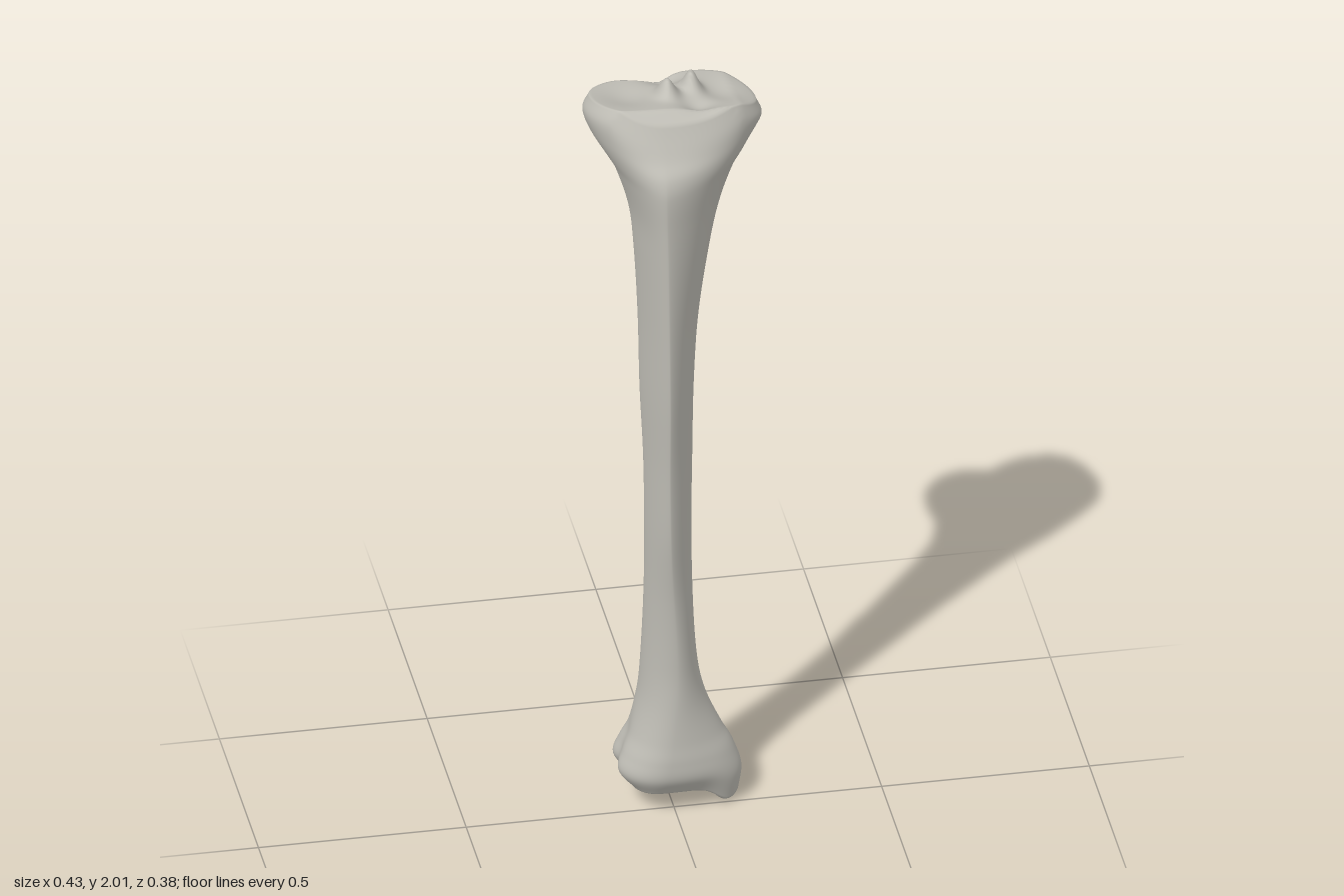
import * as THREE from 'three';

// silhouette by height: y, min x, max x, front z, back z
const OUTLINE = [
  [0.05, -0.105, 0.16, 0.03, -0.165], [0.10, -0.137, 0.167, 0.06, -0.175], [0.15, -0.125, 0.15, 0.064, -0.155],
  [0.20, -0.105, 0.122, 0.06, -0.13], [0.30, -0.082, 0.08, 0.055, -0.11], [0.40, -0.075, 0.06, 0.055, -0.095],
  [0.60, -0.072, 0.046, 0.07, -0.065], [0.80, -0.075, 0.04, 0.10, -0.036], [1.00, -0.08, 0.04, 0.12, -0.02],
  [1.20, -0.09, 0.042, 0.145, -0.022], [1.40, -0.095, 0.052, 0.162, -0.035], [1.60, -0.105, 0.08, 0.178, -0.045],
  [1.70, -0.115, 0.105, 0.185, -0.062], [1.80, -0.145, 0.147, 0.191, -0.112], [1.84, -0.168, 0.175, 0.184, -0.142],
  [1.89, -0.2, 0.205, 0.16, -0.178], [1.93, -0.212, 0.216, 0.14, -0.19], [1.967, -0.196, 0.203, 0.115, -0.178],
];
// section shape: y, crest x, back x, z of the -x edge, z of the +x edge, front and back sharpness
const SHAPE = [
  [0.05, -0.03, -0.05, -0.06, -0.03, 0.9, 1], [0.2, -0.01, -0.03, -0.05, -0.03, 1, 1],
  [0.4, 0, 0, -0.03, -0.03, 1.1, 1], [0.8, -0.025, 0, 0.02, 0.01, 1.35, 1.05],
  [1.2, -0.035, -0.01, 0.04, 0.03, 1.4, 1.1], [1.6, -0.045, 0, 0.04, 0.04, 1.3, 1.1],
  [1.8, -0.05, 0.02, 0.01, 0, 1.2, 1], [1.9, -0.045, 0.07, -0.03, -0.03, 1.05, 0.95],
  [1.967, -0.04, 0.09, -0.04, -0.04, 0.95, 0.95],
];
const BOTTOM = 0.05, TOP = 1.967, SIDES = 96;
const bump = (x, z, cx, cz, sx, sz) => Math.exp(-(((x - cx) / sx) ** 2) - ((z - cz) / sz) ** 2);
const step = THREE.MathUtils.smoothstep;

// smooth cubic reading of a table at height y
function sample(table, y) {
  const n = table.length - 1;
  let i = 0;
  while (i < n - 1 && y > table[i + 1][0]) i++;
  const h = table[i + 1][0] - table[i][0], t = (y - table[i][0]) / h;
  const slope = (k, c) => {
    const a = table[Math.max(k - 1, 0)], b = table[Math.min(k + 1, n)];
    return (b[c] - a[c]) / (b[0] - a[0]);
  };
  return table[i].slice(1).map((_, k) => {
    const c = k + 1, p = table[i][c], q = table[i + 1][c];
    return p + (q - p) * t * t * (3 - 2 * t)
      + h * t * (1 - t) * ((1 - t) * slope(i, c) - t * slope(i + 1, c));
  });
}

// upper joint surface: tilted plateau, two shallow hollows and a pair of central spines
function plateauHeight(x, z) {
  return TOP + 0.2 * z - 0.06 * x
    - 0.9 * Math.max(0, z - 0.08) - 0.4 * Math.max(0, x - 0.15)
    - 0.014 * bump(x, z, -0.11, -0.03, 0.06, 0.07) - 0.018 * bump(x, z, 0.12, -0.05, 0.05, 0.08)
    - 0.02 * bump(x, z, 0.05, 0.04, 0.04, 0.04) - 0.02 * bump(x, z, 0.0, -0.14, 0.04, 0.04)
    + 0.044 * bump(x, z, -0.012, -0.025, 0.022, 0.035) + 0.048 * bump(x, z, 0.055, -0.07, 0.02, 0.035);
}

// lower joint surface: an arch with the inner ankle knob hanging from the +x side
function ankleHeight(x, z) {
  return 0.052 + 0.022 * bump(x, z, -0.02, -0.06, 0.08, 0.06)
    - 0.056 * bump(x, z, 0.125, -0.025, 0.042, 0.06);
}

// one closed outline around the bone at height y
function section(y) {
  const [xl, xr, zf, zb] = sample(OUTLINE, y);
  const [fx, bx, zl, zr, ef, eb] = sample(SHAPE, y);
  const low = 1 - step(y, 0.06, 0.3), high = step(y, 1.74, 1.92);
  const points = [];
  for (let i = 0; i < SIDES; i++) {
    const a = (i / SIDES) * Math.PI * 2, s = Math.sin(a), c = Math.cos(a);
    const e = c >= 0 ? ef : eb;
    const u = Math.abs(s) ** e, v = Math.abs(c) ** e;
    const mx = c >= 0 ? fx : bx, mz = s >= 0 ? zr : zl;
    let x = mx + ((s >= 0 ? xr : xl) - mx) * u;
    let z = mz + ((c >= 0 ? zf : zb) - mz) * v;
    // notch behind the knee, groove behind the ankle, hollow for the neighbouring bone
    if (c < 0) z += v * (0.04 * high * Math.exp(-(((x + 0.05) / 0.055) ** 2))
      + 0.025 * low * Math.exp(-(((x - 0.055) / 0.035) ** 2)));
    if (s < 0) x += 0.018 * low * u * Math.exp(-(((z + 0.06) / 0.03) ** 2));
    const wTop = step(y, 1.84, TOP), wLow = 1 - step(y, BOTTOM, 0.18);
    const py = y + (plateauHeight(x, z) - TOP) * wTop + (ankleHeight(x, z) - BOTTOM) * wLow;
    points.push([x, py, z]);
  }
  return points;
}

// end surface ring: the rim shrunk towards a centre and laid on the joint surface
function capRing(rim, s, cx, cz, height) {
  return rim.map(([px, , pz]) => {
    const x = cx + (px - cx) * s, z = cz + (pz - cz) * s;
    return [x, height(x, z), z];
  });
}

function boneGeometry() {
  const rings = [], lowRim = section(BOTTOM), highRim = section(TOP), CAP = 24, ROWS = 130;
  for (let k = 0; k < CAP; k++) rings.push(capRing(lowRim, Math.max(k / CAP, 0.002), 0, -0.05, ankleHeight));
  // rows are closer together near both ends
  for (let k = 0; k <= ROWS; k++) {
    const t = k / ROWS, w = t - 0.11 * Math.sin(2 * Math.PI * t);
    rings.push(section(BOTTOM + (TOP - BOTTOM) * w));
  }
  for (let k = CAP - 1; k >= 0; k--) rings.push(capRing(highRim, Math.max(k / CAP, 0.002), 0, -0.03, plateauHeight));

  const index = [];
  for (let j = 0; j < rings.length - 1; j++) {
    for (let i = 0; i < SIDES; i++) {
      const n = (i + 1) % SIDES;
      const a = j * SIDES + i, b = j * SIDES + n, c = b + SIDES, d = a + SIDES;
      index.push(a, b, c, a, c, d);
    }
  }
  const geometry = new THREE.BufferGeometry();
  geometry.setAttribute('position', new THREE.Float32BufferAttribute(rings.flat(2), 3));
  geometry.setIndex(index);
  geometry.computeVertexNormals();
  return geometry;
}

export function createModel() {
  const model = new THREE.Group();
  model.name = 'shinBoneModel';
  const bone = new THREE.MeshStandardMaterial({ color: 0xc0beb6 });
  bone.name = 'bone';
  const mesh = new THREE.Mesh(boneGeometry(), bone);
  mesh.name = 'shinBone';
  model.add(mesh);
  return model;
}
